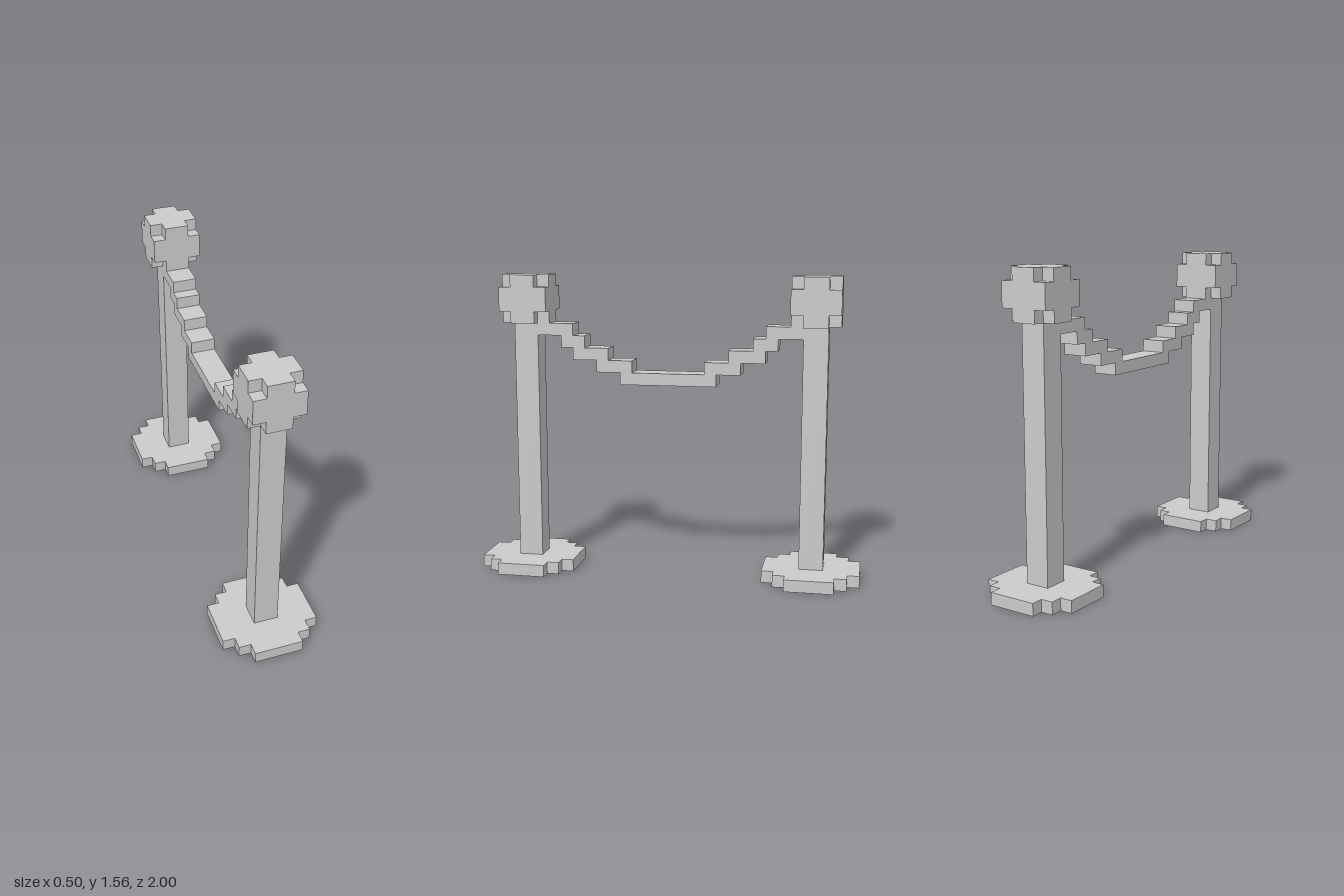
import * as THREE from 'three';

const U = 1 / 16; // one block
const material = new THREE.MeshStandardMaterial({ color: 0xcccccc, flatShading: true });

function part(name, geometry, y = 0) {
  const mesh = new THREE.Mesh(geometry, material);
  mesh.name = name;
  mesh.position.y = y * U;
  return mesh;
}

function extrude(points, depth) {
  const shape = new THREE.Shape(points.map(([x, y]) => new THREE.Vector2(x * U, y * U)));
  return new THREE.ExtrudeGeometry(shape, { depth: depth * U, bevelEnabled: false });
}

// Flat slab whose outline is one quadrant of corners mirrored four ways
function slab(quadrant, height) {
  const flip = (pts, sx, sy) => pts.map(([x, y]) => [x * sx, y * sy]);
  const back = [...quadrant].reverse();
  const outline = [...quadrant, ...flip(back, -1, 1), ...flip(quadrant, -1, -1), ...flip(back, 1, -1)];
  return extrude(outline, height).rotateX(-Math.PI / 2);
}

function box(w, h, d) {
  return new THREE.BoxGeometry(w * U, h * U, d * U).translate(0, (h * U) / 2, 0);
}

// Stepped round base, square pole and a blocky ball with its corners cut away
function createStanchion(name) {
  const stanchion = new THREE.Group();
  stanchion.name = name;
  const cross = [[2, 1], [1, 1], [1, 2]];
  const knob = new THREE.Group();
  knob.name = 'knob';
  knob.add(
    part('knobBottom', slab(cross, 1), 21),
    part('knobMiddle', box(4, 2, 4), 22),
    part('knobTop', slab(cross, 1), 24),
  );
  stanchion.add(
    part('base', slab([[4, 2], [3, 2], [3, 3], [2, 3], [2, 4]], 1)),
    part('pole', box(2, 20, 2), 1),
    knob,
  );
  return stanchion;
}

// Sagging rope: a stepped side profile, mirrored and given its width
function createRope() {
  const under = [[4, 16], [4, 17], [6, 17], [6, 18], [8, 18], [8, 19], [9, 19], [9, 20], [11, 20]];
  const over = [[11, 21], [8, 21], [8, 20], [7, 20], [7, 19], [5, 19], [5, 18], [3, 18], [3, 17]];
  const half = [...under, ...over];
  const mirrored = half.map(([z, y]) => [-z, y]).reverse();
  const geometry = extrude([...half, ...mirrored], 2);
  return part('rope', geometry.translate(0, 0, -U).rotateY(Math.PI / 2));
}

export function createModel() {
  const model = new THREE.Group();
  model.name = 'ropeBarrier';
  for (const side of [1, -1]) {
    const stanchion = createStanchion(side > 0 ? 'frontStanchion' : 'backStanchion');
    stanchion.position.z = side * 12 * U;
    model.add(stanchion);
  }
  model.add(createRope());
  return model;
}
